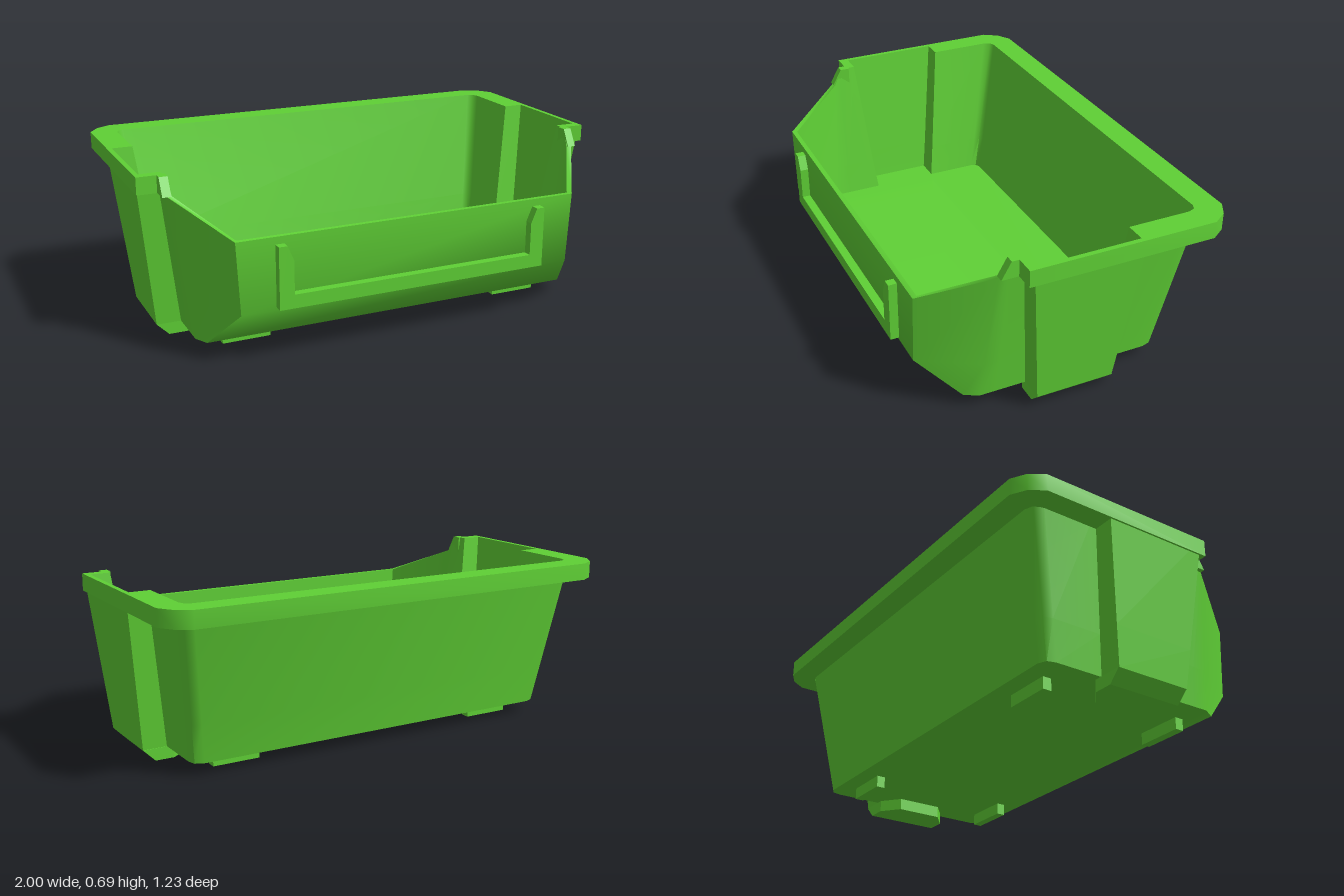
import * as THREE from 'three';
import { toCreasedNormals } from 'three/addons/utils/BufferGeometryUtils.js';
import { ConvexGeometry } from 'three/addons/geometries/ConvexGeometry.js';

const WALL = 0.02;
const FLOOR = 0.05;
const KNEE = 0.21;
const RIM_BOTTOM = 0.62;
const RIM_TOP = 0.69;

// Half of the wall plan, front to back: [bottom x, z], [top x, y, z], optional [knee x, z]
const columns = [
  [[0.8, 0.415], [0.73, 0.5, 0.58], [0.715, 0.58]],
  [[0.83, 0.36], [0.9, RIM_BOTTOM, 0.32]],
  [[0.83, 0.29], [0.91, RIM_TOP, 0.28]],
  [[0.83, 0.165], [0.915, RIM_TOP, 0.23]],
  [[0.93, 0.165], [1.0, RIM_TOP, 0.23]],
  [[0.93, -0.16], [1.0, RIM_TOP, -0.23]],
  [[0.83, -0.16], [0.915, RIM_TOP, -0.23]],
  [[0.83, -0.365], [0.915, RIM_TOP, -0.475]],
  [[0.82, -0.4], [0.9, RIM_TOP, -0.515]],
  [[0.785, -0.415], [0.865, RIM_TOP, -0.53]],
];

// Mirrors a half ring into a full one
const mirrorRing = (half) => [
  ...half,
  ...half.map((p) => new THREE.Vector3(-p.x, p.y, p.z)).reverse(),
];

// Moves a ring inwards in plan by the wall thickness
function inset(ring, t) {
  const n = ring.length;
  const normal = (a, b) => new THREE.Vector2(b.z - a.z, a.x - b.x).normalize();
  return ring.map((p, i) => {
    const n1 = normal(ring[(i + n - 1) % n], p);
    const n2 = normal(p, ring[(i + 1) % n]);
    const k = t / (1 + n1.dot(n2));
    return new THREE.Vector3(p.x + (n1.x + n2.x) * k, p.y, p.z + (n1.y + n2.y) * k);
  });
}

// Walls and floor as one shell, lofted up the outside and down the inside
function shellGeometry() {
  const bottom = mirrorRing(columns.map(([b]) => new THREE.Vector3(b[0], FLOOR, b[1])));
  const top = mirrorRing(columns.map(([, t]) => new THREE.Vector3(...t)));
  const knee = mirrorRing(columns.map(([b, t, k]) => {
    if (k) return new THREE.Vector3(k[0], KNEE, k[1]);
    const f = (KNEE - FLOOR) / (t[1] - FLOOR);
    return new THREE.Vector3(b[0] + (t[0] - b[0]) * f, KNEE, b[1] + (t[2] - b[1]) * f);
  }));
  const innerBottom = inset(bottom, WALL);
  innerBottom.forEach((p) => { p.y += WALL; });
  const rings = [bottom, knee, top, inset(top, WALL), inset(knee, WALL), innerBottom];

  const pos = [];
  const tri = (a, b, c) => [a, b, c].forEach((p) => pos.push(p.x, p.y, p.z));
  for (let r = 0; r < rings.length - 1; r++) {
    const lo = rings[r], hi = rings[r + 1];
    lo.forEach((a, i) => {
      const j = (i + 1) % lo.length;
      tri(a, lo[j], hi[j]);
      tri(a, hi[j], hi[i]);
    });
  }
  const cap = (ring, up) => {
    const outline = ring.map((p) => new THREE.Vector2(p.x, -p.z));
    for (const [a, b, c] of THREE.ShapeUtils.triangulateShape(outline, [])) {
      if (up) tri(ring[a], ring[b], ring[c]);
      else tri(ring[a], ring[c], ring[b]);
    }
  };
  cap(bottom, false);
  cap(innerBottom, true);

  const geometry = new THREE.BufferGeometry();
  geometry.setAttribute('position', new THREE.Float32BufferAttribute(pos, 3));
  return toCreasedNormals(geometry, 0.85);
}

// Flat outline extruded without bevel
function extrude(points, depth) {
  const shape = new THREE.Shape(points.map(([x, y]) => new THREE.Vector2(x, y)));
  return new THREE.ExtrudeGeometry(shape, { depth, bevelEnabled: false });
}

const mirrorOutline = (half) => [...half, ...half.map(([x, y]) => [-x, y]).reverse()];

export function createModel() {
  const group = new THREE.Group();
  const material = new THREE.MeshStandardMaterial({ color: 0x5fd035 });
  const add = (name, geometry) => {
    const mesh = new THREE.Mesh(geometry, material);
    mesh.name = name;
    group.add(mesh);
    return mesh;
  };

  add('binShell', shellGeometry());

  // Overhanging rim around the sides and back; outline is (x, -z)
  const outer = [[1, -0.25], [1, 0.52], [0.96, 0.58], [0.9, 0.615]];
  const inner = [[0.86, 0.515], [0.89, 0.505], [0.903, 0.475], [0.903, 0.213],
    [0.983, 0.213], [0.983, -0.213], [0.903, -0.213], [0.903, -0.25]];
  const rimOutline = [
    ...outer,
    ...outer.map(([x, y]) => [-x, y]).reverse(),
    ...inner.map(([x, y]) => [-x, y]).reverse(),
    ...inner,
  ];
  const rim = extrude(rimOutline, RIM_TOP - RIM_BOTTOM);
  rim.rotateX(-Math.PI / 2);
  add('rim', toCreasedNormals(rim, 0.6)).position.y = RIM_BOTTOM;

  // U-shaped label holder on the front
  const holder = mirrorOutline([[0.575, 0.22], [0.575, 0.47], [0.54, 0.47],
    [0.515, 0.41], [0.515, 0.275]]);
  add('labelHolder', extrude(holder, 0.045)).position.z = 0.57;

  for (const side of [1, -1]) {
    // Sloped end of the rim
    const end = extrude([[-0.24, RIM_BOTTOM], [-0.24, RIM_TOP], [-0.28, RIM_TOP], [-0.32, RIM_BOTTOM]], 0.035);
    end.rotateY(Math.PI / 2);
    add('rimEnd', end).position.x = side > 0 ? 0.885 : -0.92;

    // Stacking foot beneath each side bulge
    const corners = [];
    for (const s of [1, -1]) {
      for (const [x, y, z] of [[0.93, FLOOR, 0.163], [0.88, 0, 0.163],
        [0.8, 0, 0.163], [0.8, FLOOR, 0.163], [0.72, 0, 0.1], [0.72, FLOOR, 0.1]]) {
        corners.push(new THREE.Vector3(side * x, y, s * z));
      }
    }
    add('stackingFoot', new ConvexGeometry(corners));

    // Small locating tabs under the floor
    for (const z of [0.323, -0.32]) {
      add('floorTab', new THREE.BoxGeometry(0.2, 0.06, 0.037)).position.set(side * 0.615, 0.03, z);
    }
  }
  return group;
}
